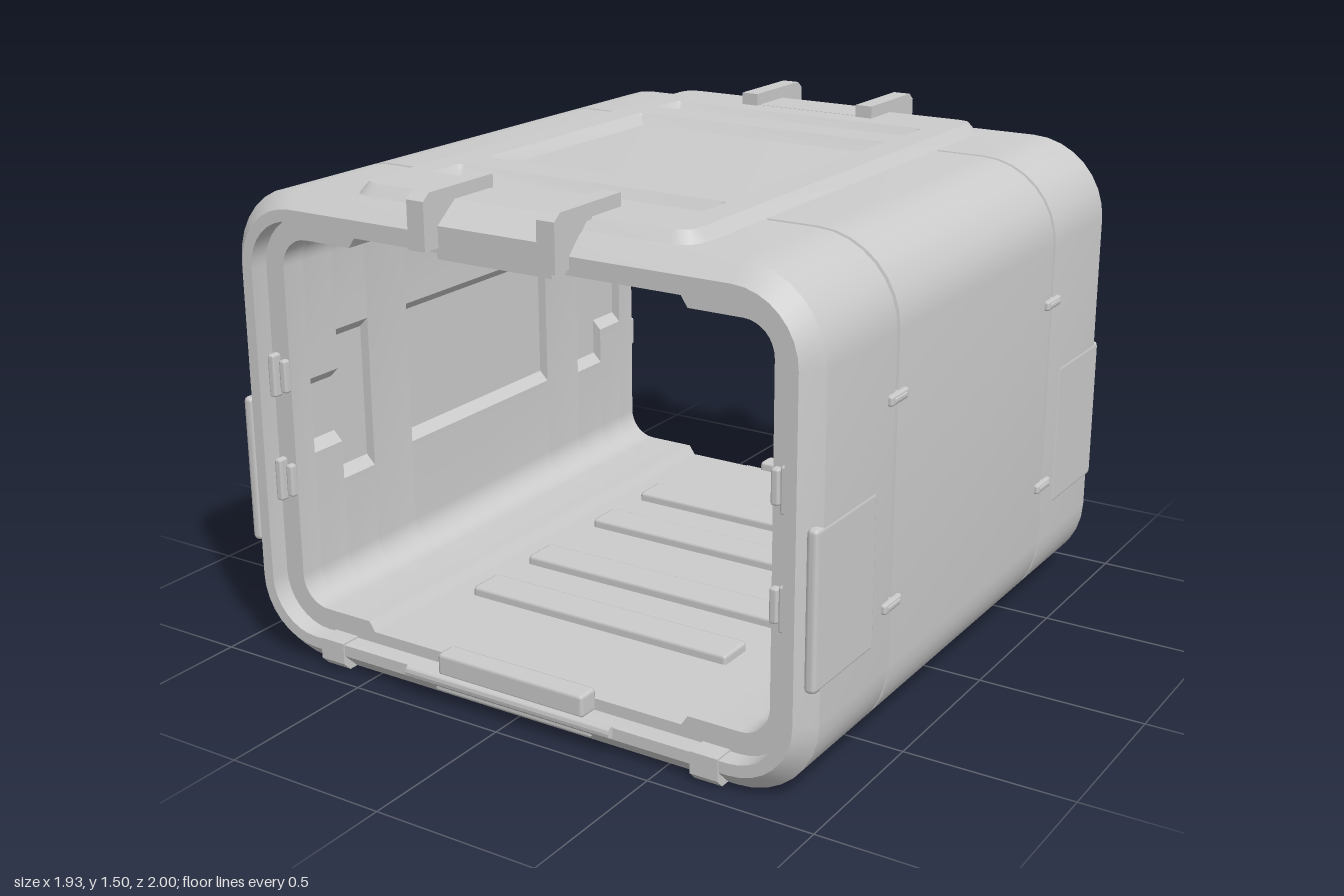
import * as THREE from 'three';
import { toCreasedNormals } from 'three/addons/utils/BufferGeometryUtils.js';
import { RoundedBoxGeometry } from 'three/addons/geometries/RoundedBoxGeometry.js';

const material = new THREE.MeshStandardMaterial({ color: 0xcccccc });
const W = 0.95, H = 1.425, R = 0.24;

function add(parent, name, geometry, x = 0, y = 0, z = 0) {
  const mesh = new THREE.Mesh(geometry, material);
  mesh.name = name;
  mesh.position.set(x, y, z);
  parent.add(mesh);
  return mesh;
}

function box(parent, name, w, h, d, x, y, z, r = 0.008) {
  return add(parent, name, new RoundedBoxGeometry(w, h, d, 1, r), x, y, z);
}

// Rounded-rectangle corners of the body, inset by d, anticlockwise from lower right
function corner(k, d, n = 8) {
  const r = R - d, pts = [];
  const cx = (k === 0 || k === 1 ? 1 : -1) * (W - R);
  const cy = k === 1 || k === 2 ? H - R : R;
  for (let i = 0; i <= n; i++) {
    const a = (k - 1 + i / n) * Math.PI / 2;
    pts.push(new THREE.Vector2(cx + r * Math.cos(a), cy + r * Math.sin(a)));
  }
  return pts;
}

const loop = d => [0, 1, 2, 3].flatMap(k => corner(k, d));

// Skin through rounded-rectangle rings given as [inset, z]
function loft(profile) {
  const pos = [], index = [], n = loop(0).length;
  profile.forEach(([d, z]) => loop(d).forEach(p => pos.push(p.x, p.y, z)));
  for (let i = 0; i < profile.length - 1; i++) {
    for (let j = 0; j < n; j++) {
      const a = i * n + j, b = i * n + (j + 1) % n;
      index.push(a, b, a + n, b, b + n, a + n);
    }
  }
  const g = new THREE.BufferGeometry();
  g.setAttribute('position', new THREE.Float32BufferAttribute(pos, 3));
  g.setIndex(index);
  return toCreasedNormals(g, 0.5);
}

// Slice of the inner wall; side = [low, high] gives the height span of a side recess
function linerSlice(z0, z1, side) {
  const d = 0.15, x = W - d, top = H - d, cut = 0.03;
  const V = (a, b) => new THREE.Vector2(a, b);
  const right = side ? [V(x, side[0]), V(x + cut, side[0] + 0.03),
    V(x + cut, side[1] - 0.03), V(x, side[1])] : [];
  const left = right.map(p => V(-p.x, p.y)).reverse();
  const ceiling = [V(0.55, top), V(0.53, top + cut), V(-0.53, top + cut), V(-0.55, top)];
  const floor = [V(-0.55, d), V(-0.53, d - cut), V(0.53, d - cut), V(0.55, d)];
  const shape = new THREE.Shape(loop(0.08));
  shape.holes.push(new THREE.Path([...corner(0, d), ...right, ...corner(1, d), ...ceiling,
    ...corner(2, d), ...left, ...corner(3, d), ...floor]));
  const g = new THREE.ExtrudeGeometry(shape, { depth: z1 - z0, bevelEnabled: false });
  return toCreasedNormals(g.translate(0, 0, z0), 0.5);
}

// Outline in (z, y), extruded across x and centred there
function sideProfile(points, width) {
  const shape = new THREE.Shape(points.map(([z, y]) => new THREE.Vector2(-z, y)));
  const g = new THREE.ExtrudeGeometry(shape, { depth: width, bevelEnabled: false });
  return g.translate(0, 0, -width / 2).rotateY(Math.PI / 2);
}

function roundedRect(Type, x, z0, z1, r) {
  const p = new Type();
  p.moveTo(-x + r, z0).lineTo(x - r, z0).quadraticCurveTo(x, z0, x, z0 + r);
  p.lineTo(x, z1 - r).quadraticCurveTo(x, z1, x - r, z1);
  p.lineTo(-x + r, z1).quadraticCurveTo(-x, z1, -x, z1 - r);
  p.lineTo(-x, z0 + r).quadraticCurveTo(-x, z0, -x + r, z0);
  return p;
}

// Fittings at one open end
function createEnd() {
  const end = new THREE.Group();
  const hook = [[0.705, 1.45], [0.705, 1.495], [0.975, 1.495], [1, 1.475], [1, 1.34],
    [0.935, 1.34], [0.935, 1.375], [0.89, 1.42], [0.86, 1.45]];
  const saddle = [[0.72, 1.42], [0.72, 1.458], [0.87, 1.458], [0.945, 1.40],
    [0.945, 1.31], [0.87, 1.31]];
  const foot = [[0.87, 0], [0.87, 0.09], [0.945, 0.09], [0.945, 0.025], [0.92, 0]];
  add(end, 'hookSaddle', sideProfile(saddle, 0.37));
  for (const s of [-1, 1]) {
    add(end, 'hookArm', sideProfile(hook, 0.056), s * 0.208);
    add(end, 'rimFoot', sideProfile(foot, 0.085), s * 0.64);
    box(end, 'cornerPad', 0.036, 0.45, 0.325, s * 0.935, 0.56, 0.763, 0.015);
    for (const y of [0.54, 0.86]) {
      box(end, 'rimCatch', 0.025, 0.13, 0.04, s * 0.847, y, 0.89);
      box(end, 'rimCatch', 0.025, 0.1, 0.03, s * 0.814, y, 0.885);
    }
    for (const y of [0.43, 1.01]) {
      box(end, 'seamClip', 0.03, 0.03, 0.1, s * 0.948, y, 0.51);
      box(end, 'seamClipCore', 0.03, 0.014, 0.07, s * 0.951, y, 0.51, 0.004);
    }
  }
  // Bottom latch with its hinge bar
  box(end, 'latchLip', 0.5, 0.07, 0.07, 0, 0.115, 0.905, 0.012);
  box(end, 'latchPlate', 0.54, 0.05, 0.06, 0, 0.05, 0.9);
  const bar = new THREE.CylinderGeometry(0.016, 0.016, 0.7, 10).rotateZ(Math.PI / 2);
  add(end, 'latchBar', toCreasedNormals(bar, 0.8), 0, 0.075, 0.948);
  return end;
}

export function createModel() {
  const model = new THREE.Group();
  model.name = 'openCase';

  // Outer shell with bevelled rims, stepped lips and two seam grooves
  const half = [[0, 0.502], [0.01, 0.505], [0.01, 0.515], [0, 0.518], [0, 0.89],
    [0.05, 0.94], [0.085, 0.94], [0.085, 0.875]];
  const mirrored = half.map(([d, z]) => [d, -z]).reverse();
  add(model, 'shell', loft([...mirrored, ...half]));

  // Inner wall with recessed side panels
  const liner = new THREE.Group();
  liner.name = 'innerWall';
  model.add(liner);
  const cuts = [0.88, 0.8, 0.68, 0.54, 0.36];
  const recesses = [null, [0.6, 0.83], [0.48, 0.95], null];
  for (let i = 0; i < 4; i++) {
    add(liner, 'wallSection', linerSlice(cuts[i + 1], cuts[i], recesses[i]));
    add(liner, 'wallSection', linerSlice(-cuts[i], -cuts[i + 1], recesses[i]));
  }
  add(liner, 'wallSection', linerSlice(-0.36, 0.36, [0.5, 0.95]));

  // Raised bands across the recessed floor
  for (const z of [-0.46, -0.18, 0.18, 0.46]) {
    box(model, 'floorBand', 0.9, 0.04, 0.12, 0, 0.129, z, 0.012);
  }

  // Raised top panel with a large window and two slots
  const panel = roundedRect(THREE.Shape, 0.528, -0.835, 0.835, 0.05);
  panel.holes.push(
    roundedRect(THREE.Path, 0.435, -0.4, 0.4, 0.01),
    roundedRect(THREE.Path, 0.445, 0.515, 0.64, 0.02),
    roundedRect(THREE.Path, 0.445, -0.64, -0.515, 0.02));
  const top = new THREE.ExtrudeGeometry(panel, {
    depth: 0.01, bevelSize: 0.03, bevelThickness: 0.035, bevelSegments: 1, curveSegments: 4 });
  add(model, 'topPanel', toCreasedNormals(top.rotateX(-Math.PI / 2), 0.5), 0, 1.412, 0);

  // Matching fittings front and back
  for (const [name, turn] of [['frontFittings', 0], ['backFittings', Math.PI]]) {
    const end = createEnd();
    end.name = name;
    end.rotation.y = turn;
    model.add(end);
  }
  return model;
}
